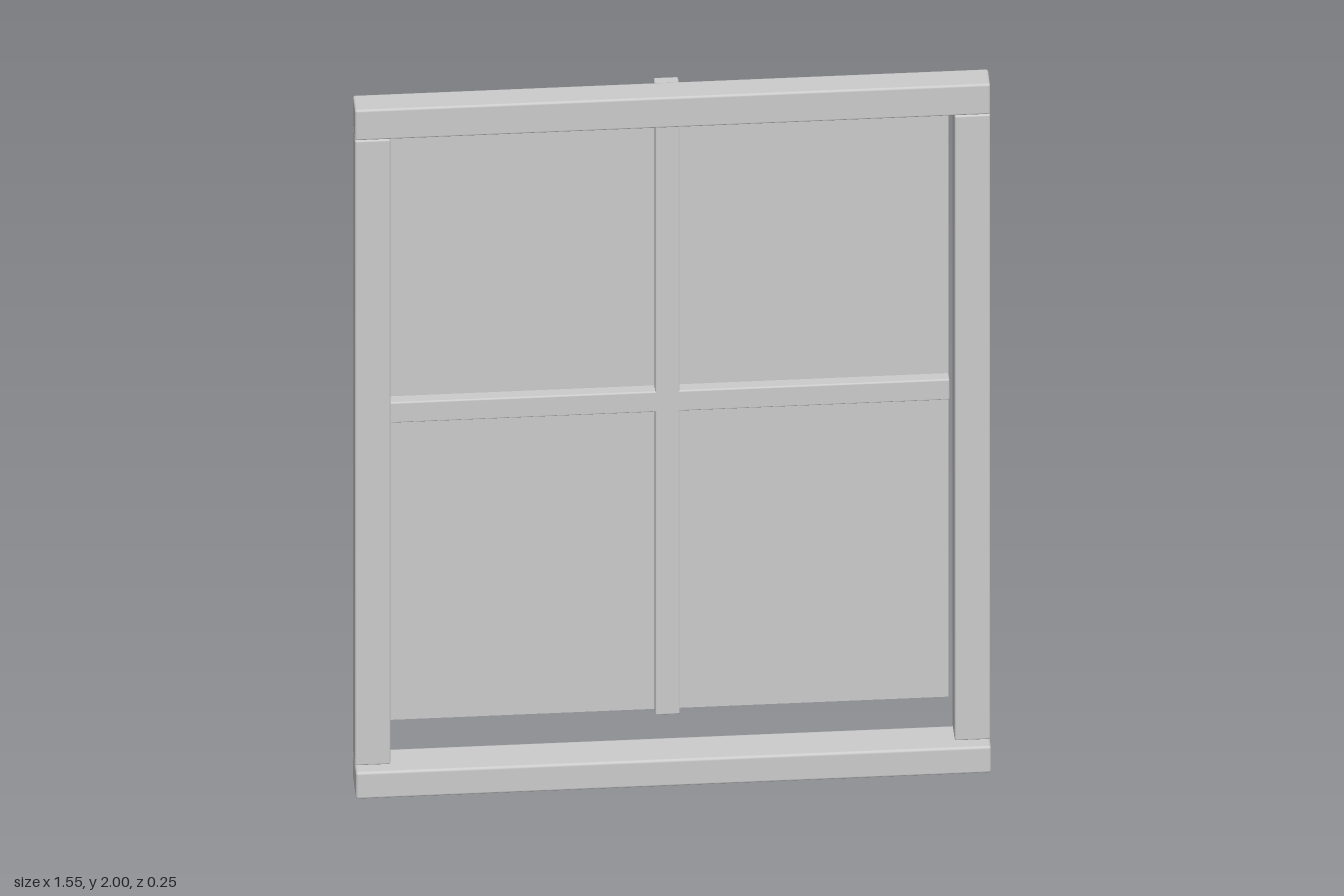
import * as THREE from 'three';
import { RoundedBoxGeometry } from 'three/addons/geometries/RoundedBoxGeometry.js';

export function createModel() {
  const group = new THREE.Group();
  group.name = 'window';
  const material = new THREE.MeshStandardMaterial({ color: 0xcccccc });

  // Softly bevelled bar given by its extents on each axis
  const bar = (name, [x0, x1], [y0, y1], [z0, z1], bevel) => {
    const mesh = new THREE.Mesh(
      new RoundedBoxGeometry(x1 - x0, y1 - y0, z1 - z0, 2, bevel), material);
    mesh.position.set((x0 + x1) / 2, (y0 + y1) / 2, (z0 + z1) / 2);
    mesh.name = name;
    group.add(mesh);
  };

  const halfWidth = 0.775, opening = 0.688;
  const sillTop = 0.078, railBottom = 1.911;
  const frameDepth = [0.026, 0.096], barDepth = [-0.127, -0.07];

  // Outer frame, with a sill that projects forward
  bar('sill', [-halfWidth, halfWidth], [0, sillTop], [0.026, 0.127], 0.007);
  bar('topRail', [-halfWidth, halfWidth], [railBottom, 2], frameDepth, 0.006);
  bar('leftStile', [opening, halfWidth], [sillTop, railBottom], frameDepth, 0.005);
  bar('rightStile', [-halfWidth, -opening], [sillTop, railBottom], frameDepth, 0.005);

  // Glazing bars
  bar('verticalGlazingBar', [-0.03, 0.03], [sillTop, railBottom], barDepth, 0.004);
  bar('horizontalGlazingBar', [-opening, opening], [0.967, 1.027], barDepth, 0.004);

  // Glass sheet in the middle of the glazing bars
  const glassMaterial = material.clone();
  glassMaterial.side = THREE.DoubleSide;
  const glass = new THREE.Mesh(
    new THREE.PlaneGeometry(opening * 2, railBottom - sillTop), glassMaterial);
  glass.position.set(0, (sillTop + railBottom) / 2, (barDepth[0] + barDepth[1]) / 2);
  glass.name = 'glassPane';
  group.add(glass);

  return group;
}
